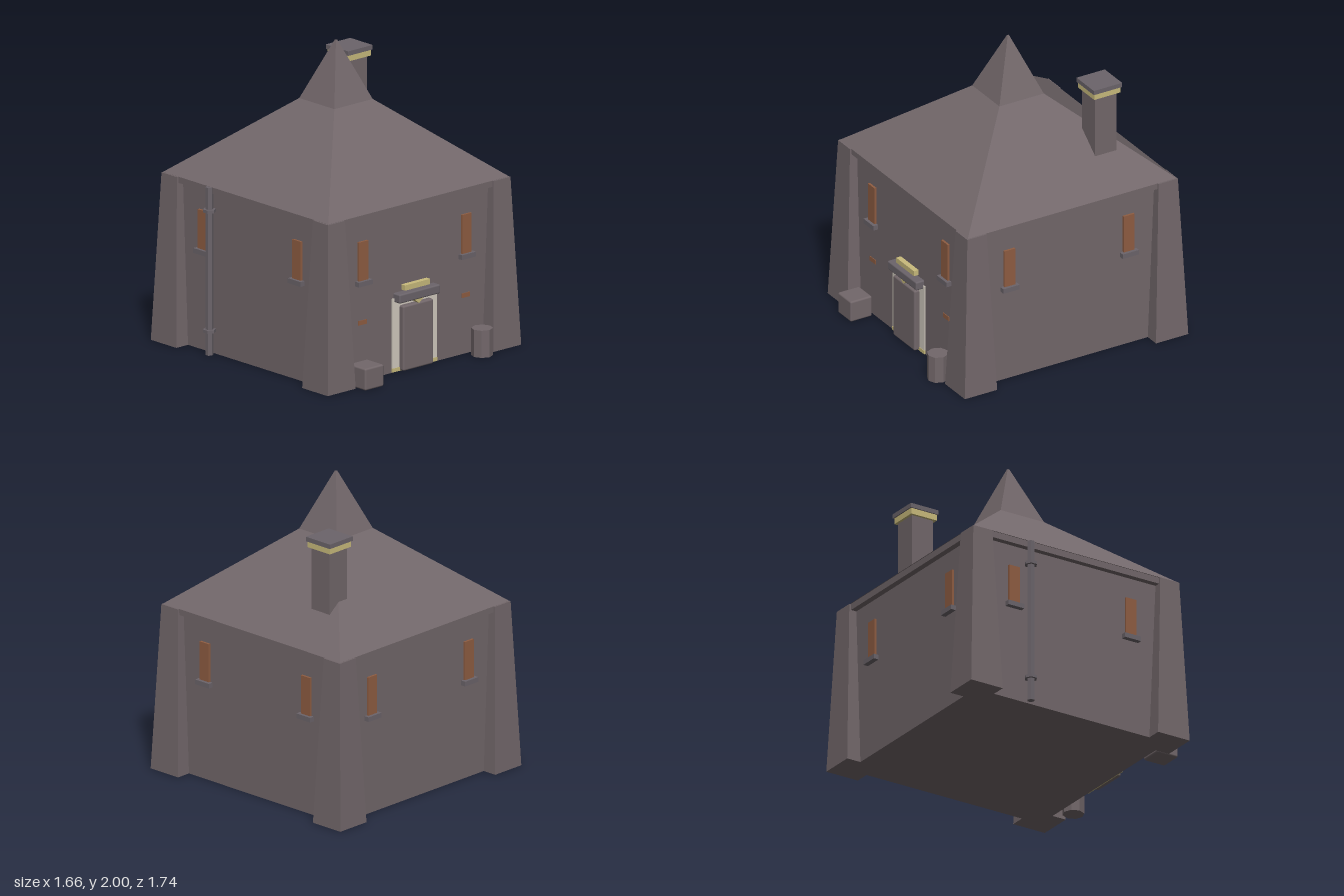
import * as THREE from 'three';
import { RoundedBoxGeometry } from 'three/addons/geometries/RoundedBoxGeometry.js';

const CZ = -0.04; // centre of the house in z
const WALL = 0.73; // half width of the walls

export function createModel() {
  const model = new THREE.Group();
  model.name = 'stoneHouse';

  const mat = (name, color) => {
    const m = new THREE.MeshStandardMaterial({ color });
    m.name = name;
    return m;
  };
  const stone = mat('stone', 0x72676a);
  const slate = mat('slate', 0x6b646a);
  const amber = mat('amberGlass', 0x8f5d42);
  const cream = mat('creamPlaster', 0xd2cbc0);
  const gold = mat('paleGold', 0xc9bb7c);

  const add = (name, geo, material, x, y, z, parent = model) => {
    const mesh = new THREE.Mesh(geo, material);
    mesh.name = name;
    mesh.position.set(x, y, z);
    parent.add(mesh);
    return mesh;
  };
  const box = (name, w, h, d, material, x, y, z, parent) =>
    add(name, new THREE.BoxGeometry(w, h, d), material, x, y, z, parent);

  // Faceted upright prism or frustum standing on y = 0
  const faceted = (top, bottom, h, sides) => {
    const g = new THREE.CylinderGeometry(top, bottom, h, sides).toNonIndexed();
    g.translate(0, h / 2, 0);
    g.computeVertexNormals();
    return g;
  };
  // Square frustum given by its half widths
  const frustum = (top, bottom, h) =>
    faceted(top * Math.SQRT2, bottom * Math.SQRT2, h, 4).rotateY(Math.PI / 4);

  // Walls and eaves
  box('walls', WALL * 2, 1.1, WALL * 2, stone, 0, 0.55, CZ);
  box('eaves', 1.54, 0.045, 1.54, stone, 0, 1.0925, CZ);

  // Tapered corner buttresses
  for (const sx of [-1, 1]) for (const sz of [-1, 1]) {
    add('cornerButtress', frustum(0.072, 0.12, 1.11), stone, sx * 0.71, 0, CZ + sz * 0.71);
  }

  // Roof with a steeper spire
  add('roof', frustum(0.165, 0.775, 0.5), stone, 0, 1.113, CZ);
  add('spire', frustum(0.006, 0.165, 0.39), stone, 0, 1.612, CZ);

  // Chimney
  const chimney = new THREE.Group();
  chimney.name = 'chimney';
  chimney.position.set(0.47, 0, -0.43);
  model.add(chimney);
  box('chimneyShaft', 0.16, 0.56, 0.16, stone, 0, 1.45, 0, chimney);
  box('chimneyBand', 0.195, 0.04, 0.195, gold, 0, 1.735, 0, chimney);
  box('chimneyCap', 0.21, 0.03, 0.21, slate, 0, 1.77, 0, chimney);

  // Two slit windows with sills on every side
  for (let i = 0; i < 4; i++) {
    const side = new THREE.Group();
    side.name = 'windowPair';
    side.position.z = CZ;
    side.rotation.y = i * Math.PI / 2;
    model.add(side);
    for (const x of [-0.443, 0.443]) {
      box('window', 0.08, 0.265, 0.03, amber, x, 0.793, WALL, side);
      box('windowSill', 0.12, 0.032, 0.07, slate, x, 0.652, WALL, side);
    }
  }
  // Low vents on the front
  for (const x of [-0.443, 0.443]) {
    box('vent', 0.07, 0.03, 0.009, amber, x, 0.387, CZ + WALL);
  }

  // Doorway
  const door = new THREE.Group();
  door.name = 'doorway';
  door.position.z = CZ + WALL;
  model.add(door);
  box('doorSurround', 0.385, 0.46, 0.012, cream, 0, 0.26, 0.003, door);
  box('threshold', 0.385, 0.025, 0.016, gold, 0, 0.0175, 0.004, door);
  add('doorLeaf', new RoundedBoxGeometry(0.26, 0.43, 0.08, 2, 0.012), stone, 0, 0.222, 0.005, door);
  add('lintel', new RoundedBoxGeometry(0.35, 0.06, 0.12, 2, 0.01), slate, 0, 0.495, 0, door);
  box('lintelTrim', 0.215, 0.035, 0.07, gold, 0, 0.552, 0, door);
  const wedge = new THREE.Shape();
  wedge.moveTo(-0.045, 0.47);
  wedge.lineTo(0, 0.435);
  wedge.lineTo(0.045, 0.47);
  add('keystone', new THREE.ExtrudeGeometry(wedge, { depth: 0.05, bevelEnabled: false }),
    gold, 0, 0, 0, door);

  // Crate and barrel by the front wall
  add('crate', new RoundedBoxGeometry(0.16, 0.145, 0.16, 2, 0.012), stone, -0.5, 0.0725, 0.79);
  add('barrel', faceted(0.07, 0.07, 0.18, 8), stone, 0.497, 0, 0.787);

  // Drainpipe with clamps
  add('drainpipe', faceted(0.025, 0.025, 1.11, 6), slate, -0.775, 0, -0.38);
  for (const y of [0.15, 0.945]) {
    add('pipeClamp', faceted(0.042, 0.042, 0.02, 6), slate, -0.775, y, -0.38);
  }

  return model;
}
